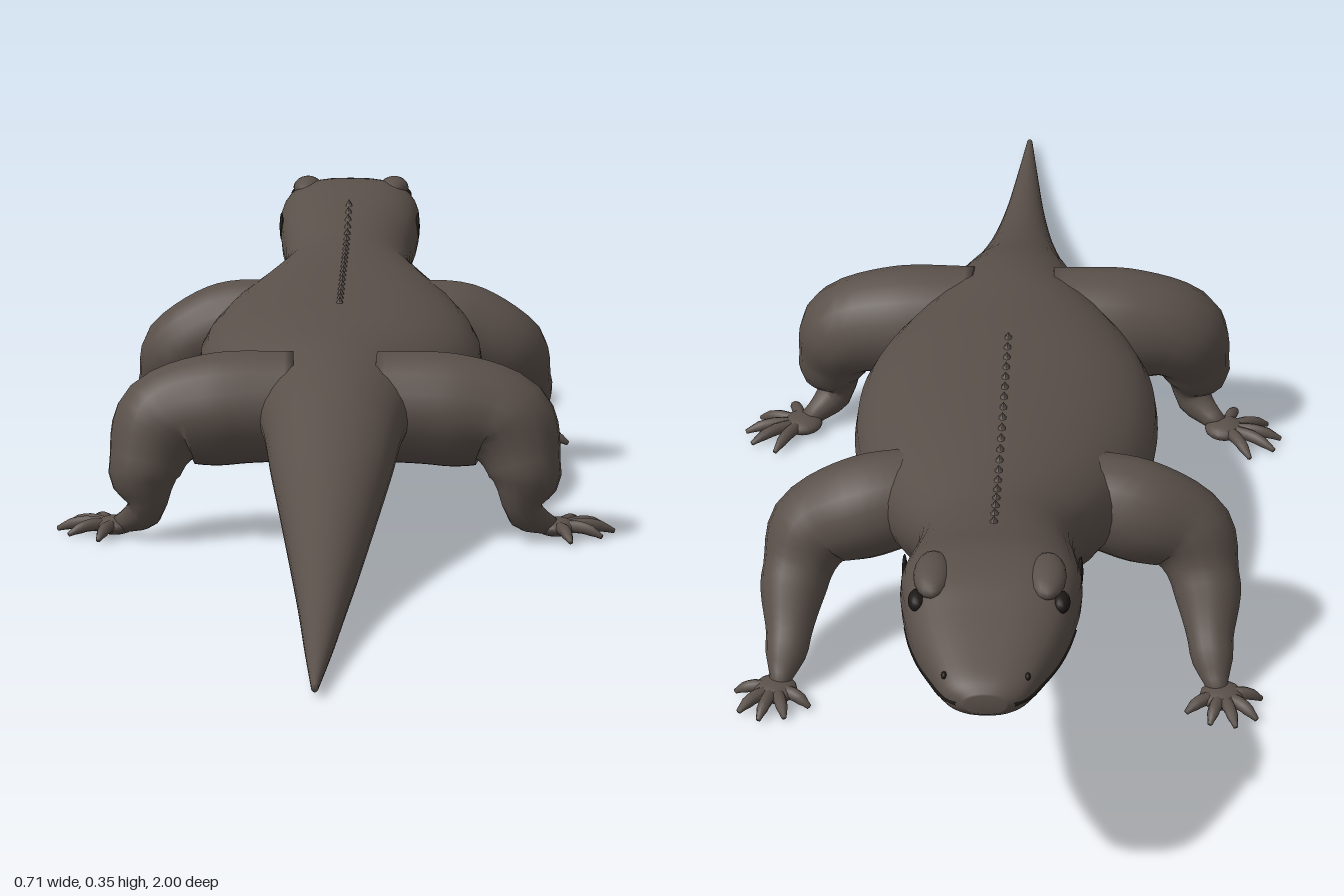
import * as THREE from 'three';

const skin = new THREE.MeshStandardMaterial({ color: 0x5a504a });
skin.name = 'brown skin';
const dark = new THREE.MeshStandardMaterial({ color: 0x1c1815 });
dark.name = 'dark eye';

// Body stations from snout to tail tip: z, top, bottom, half width, squareness
const STATIONS = [
  [-1.0, 0.285, 0.262, 0.022, 2.2],
  [-0.985, 0.298, 0.252, 0.044, 2.3],
  [-0.95, 0.313, 0.245, 0.062, 2.5],
  [-0.9, 0.332, 0.238, 0.082, 2.6],
  [-0.85, 0.349, 0.232, 0.094, 2.7],
  [-0.79, 0.35, 0.225, 0.101, 2.6],
  [-0.72, 0.332, 0.208, 0.097, 2.4],
  [-0.65, 0.316, 0.19, 0.09, 2.2],
  [-0.58, 0.301, 0.165, 0.094, 2.1],
  [-0.5, 0.291, 0.13, 0.125, 2.1],
  [-0.4, 0.284, 0.102, 0.16, 2.1],
  [-0.3, 0.277, 0.09, 0.18, 2.15],
  [-0.2, 0.27, 0.086, 0.187, 2.2],
  [-0.1, 0.264, 0.09, 0.18, 2.15],
  [0.0, 0.255, 0.098, 0.152, 2.1],
  [0.1, 0.246, 0.1, 0.11, 2],
  [0.2, 0.222, 0.09, 0.088, 2],
  [0.3, 0.185, 0.066, 0.075, 2],
  [0.4, 0.147, 0.042, 0.061, 2],
  [0.55, 0.1, 0.018, 0.043, 2],
  [0.7, 0.064, 0.008, 0.028, 2],
  [0.85, 0.038, 0.006, 0.016, 2],
  [1.0, 0.018, 0.008, 0.004, 2],
];

// Smoothly interpolated station at parameter t in 0..1
function stationAt(t) {
  const f = t * (STATIONS.length - 1);
  const i = Math.min(Math.floor(f), STATIONS.length - 2);
  const s = (k) => STATIONS[THREE.MathUtils.clamp(k, 0, STATIONS.length - 1)];
  const u = f - i;
  return s(i).map((b, k) => {
    const a = s(i - 1)[k], c = s(i + 1)[k], d = s(i + 2)[k];
    return b + 0.5 * u * (c - a + u * (2 * a - 5 * b + 4 * c - d + u * (3 * (b - c) + d - a)));
  });
}

// Station at a given z
function stationAtZ(z) {
  let lo = 0, hi = 1;
  for (let k = 0; k < 30; k++) {
    const mid = (lo + hi) / 2;
    if (stationAt(mid)[0] < z) lo = mid; else hi = mid;
  }
  return stationAt(lo);
}

// Half width of the body surface at height y and depth z
function surfaceX(y, z) {
  const [, top, bot, w, e] = stationAtZ(z);
  const v = Math.min(1, Math.abs((2 * y - top - bot) / (top - bot)));
  return w * Math.pow(1 - Math.pow(v, e), 1 / e);
}

// Closed skin through rings of points, with a fan at each end
function loft(rings) {
  const n = rings[0].length, pos = [], index = [];
  rings.forEach((ring) => ring.forEach((p) => pos.push(p.x, p.y, p.z)));
  for (let i = 0; i < rings.length - 1; i++) {
    for (let j = 0; j < n; j++) {
      const a = i * n + j, b = i * n + ((j + 1) % n);
      index.push(a, b, a + n, b, b + n, a + n);
    }
  }
  [0, rings.length - 1].forEach((r) => {
    const c = new THREE.Vector3();
    rings[r].forEach((p) => c.addScaledVector(p, 1 / n));
    const ci = pos.length / 3;
    pos.push(c.x, c.y, c.z);
    for (let j = 0; j < n; j++) {
      const a = r * n + j, b = r * n + ((j + 1) % n);
      if (r === 0) index.push(ci, b, a); else index.push(ci, a, b);
    }
  });
  const g = new THREE.BufferGeometry();
  g.setAttribute('position', new THREE.Float32BufferAttribute(pos, 3));
  g.setIndex(index);
  g.computeVertexNormals();
  return g;
}

// Tapered limb through points [x, y, z, radius], with rounded ends
function limb(points, steps, sides) {
  const curve = new THREE.CatmullRomCurve3(points.map((p) => new THREE.Vector3(p[0], p[1], p[2])));
  const frames = curve.computeFrenetFrames(steps);
  const rings = [];
  for (let i = 0; i <= steps; i++) {
    const t = curve.getUtoTmapping(i / steps);
    const c = curve.getPoint(t), f = t * (points.length - 1);
    const k = Math.min(Math.floor(f), points.length - 2);
    const r = THREE.MathUtils.lerp(points[k][3], points[k + 1][3], THREE.MathUtils.smoothstep(f - k, 0, 1));
    rings.push(Array.from({ length: sides }, (_, j) => {
      const a = (j / sides) * Math.PI * 2;
      return c.clone()
        .addScaledVector(frames.normals[i], r * Math.cos(a))
        .addScaledVector(frames.binormals[i], r * Math.sin(a));
    }));
  }
  return loft(rings);
}

function add(parent, name, geometry, material = skin) {
  const m = new THREE.Mesh(geometry, material);
  m.name = name;
  parent.add(m);
  return m;
}

function ellipsoid(parent, name, at, size, material = skin) {
  const m = add(parent, name, new THREE.SphereGeometry(1, 16, 12), material);
  m.position.set(...at);
  m.scale.set(...size);
  return m;
}

const FRONT_LEG = [
  [0.07, 0.205, -0.41, 0.055], [0.16, 0.19, -0.425, 0.062], [0.222, 0.16, -0.425, 0.055],
  [0.245, 0.11, -0.455, 0.041], [0.252, 0.05, -0.515, 0.026], [0.26, 0.016, -0.555, 0.012],
];
const FRONT_TOES = [[0.222, -0.585], [0.25, -0.61], [0.28, -0.615], [0.305, -0.598], [0.312, -0.552]];
const REAR_LEG = [
  [0.05, 0.168, 0.11, 0.07], [0.14, 0.165, 0.112, 0.072], [0.212, 0.15, 0.118, 0.064],
  [0.238, 0.09, 0.138, 0.046], [0.236, 0.045, 0.142, 0.024], [0.27, 0.017, 0.112, 0.013],
];
const REAR_TOES = [[0.31, 0.038], [0.342, 0.06], [0.352, 0.092], [0.335, 0.132], [0.295, 0.168]];

function leg(name, path, palm, toes, s) {
  const g = new THREE.Group();
  g.name = name;
  add(g, 'limb', limb(path.map(([x, y, z, r]) => [s * x, y, z, r]), 28, 16));
  ellipsoid(g, 'palm', [s * palm[0], 0.015, palm[1]], [0.026, 0.012, 0.028]);
  toes.forEach(([x, z]) => {
    const mx = (x + palm[0]) / 2, mz = (z + palm[1]) / 2;
    add(g, 'toe', limb([
      [s * palm[0], 0.014, palm[1], 0.008], [s * mx, 0.017, mz, 0.008],
      [s * (mx + x) / 2, 0.014, (mz + z) / 2, 0.007], [s * x, 0.007, z, 0.003],
    ], 8, 8));
  });
  return g;
}

export function createModel() {
  const model = new THREE.Group();
  model.name = 'lizard';

  // Head, trunk and tail in one skin, with soft folds under the neck
  const rings = [];
  for (let i = 0; i <= 110; i++) {
    const [z, top, bot, w, e] = stationAt(i / 110);
    const fold = z > -0.74 && z < -0.44 ? 0.004 * Math.sin((z + 0.74) * 84) : 0;
    rings.push(Array.from({ length: 32 }, (_, j) => {
      const a = (j / 32) * Math.PI * 2, c = Math.cos(a), s = Math.sin(a);
      const sup = (v) => Math.sign(v) * Math.pow(Math.abs(v), 2 / e);
      return new THREE.Vector3(
        w * sup(c),
        (top + bot) / 2 + ((top - bot) / 2) * sup(s) + fold * Math.min(0, s),
        z,
      );
    }));
  }
  add(model, 'body', loft(rings));

  // Low crest scales along the spine
  for (let z = -0.7; z < -0.1; z += 0.03) {
    const scale = add(model, 'crestScale', new THREE.ConeGeometry(0.012, 0.012, 6));
    scale.position.set(0, stationAtZ(z)[1] + 0.002, z);
    scale.scale.x = 0.6;
  }

  [1, -1].forEach((s) => {
    const side = s > 0 ? 'left' : 'right';
    // Brow, eye, ear and nostril
    ellipsoid(model, side + 'Brow', [s * 0.063, 0.337, -0.835], [0.021, 0.016, 0.045]);
    ellipsoid(model, side + 'Eye', [s * (surfaceX(0.322, -0.865) - 0.004), 0.322, -0.865], [0.01, 0.011, 0.017], dark);
    ellipsoid(model, side + 'Ear', [s * surfaceX(0.29, -0.745), 0.29, -0.745], [0.003, 0.02, 0.006], dark);
    ellipsoid(model, side + 'Nostril', [s * surfaceX(0.293, -0.972), 0.293, -0.972], [0.003, 0.004, 0.005], dark);

    // Mouth line
    const lip = [-0.995, -0.98, -0.95, -0.91, -0.87, -0.83].map((z) => {
      const y = 0.272 - 0.04 * (z + 1);
      return new THREE.Vector3(s * surfaceX(y, z), y, z);
    });
    add(model, side + 'MouthLine', new THREE.TubeGeometry(new THREE.CatmullRomCurve3(lip), 24, 0.002, 5), dark);

    model.add(leg(side + 'FrontLeg', FRONT_LEG, [0.264, -0.558], FRONT_TOES, s));
    model.add(leg(side + 'RearLeg', REAR_LEG, [0.278, 0.105], REAR_TOES, s));
  });

  return model;
}
